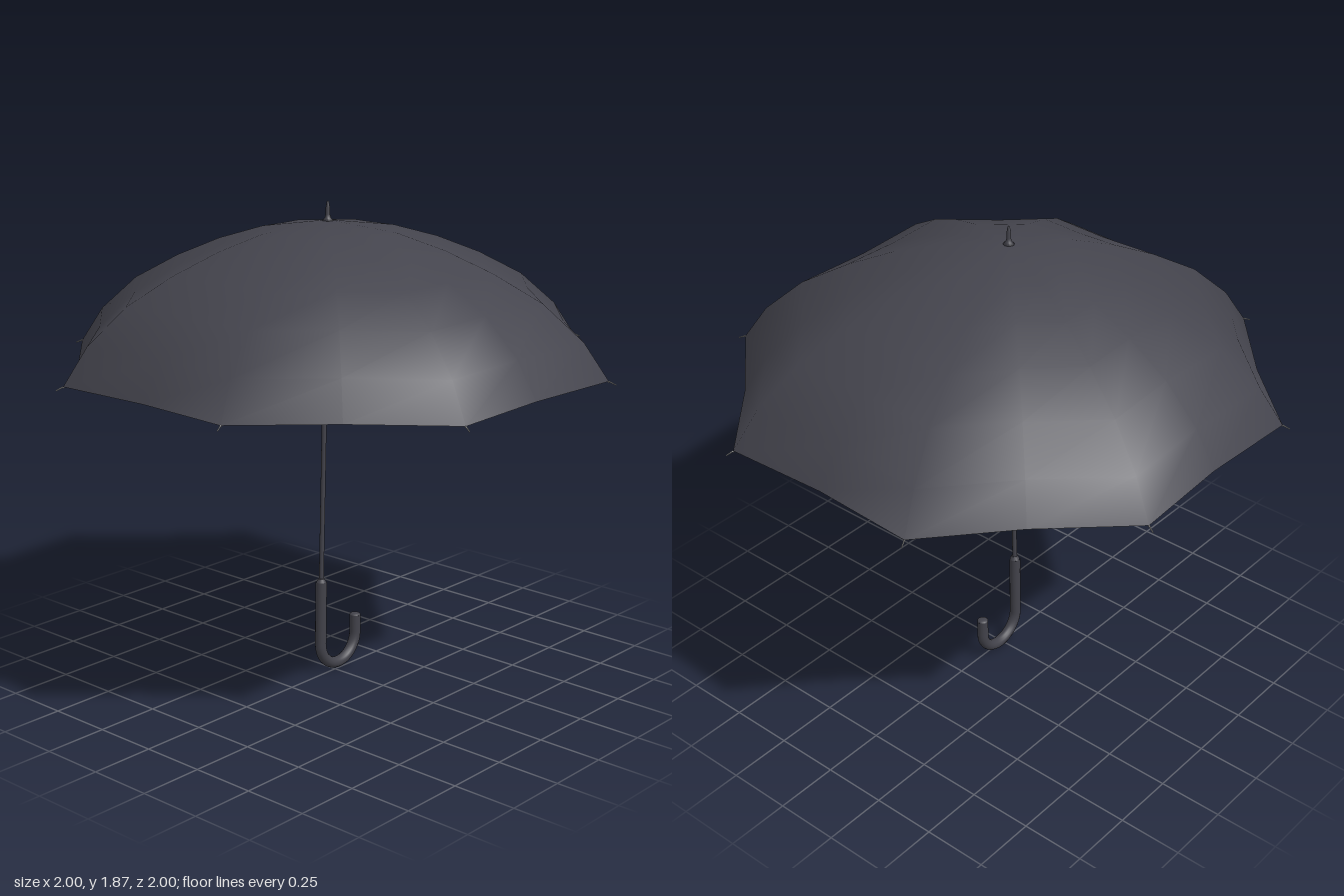
import * as THREE from 'three';

const V = (x, y, z) => new THREE.Vector3(x, y, z);
const APEX = V(0.018, 1.8, 0.06);
const RIM_Y = 1.26;

// Rib ends (x, z), in order of rising angle
const CORNERS = [
  [0.97, 0.44], [0.365, 0.97], [-0.43, 0.97], [-0.975, 0.412],
  [-0.975, -0.395], [-0.41, -0.98], [0.41, -0.98], [0.97, -0.395],
];

// Canopy profile from apex to rim: [fraction of the span, height]
const PROFILE = [
  [0, 1.8], [0.25, 1.762], [0.42, 1.706], [0.59, 1.63], [0.765, 1.53], [0.91, 1.397], [1, RIM_Y],
];

// Point above a rim position, at one step of the profile
function canopyPoint([x, z], [t, y]) {
  return V(APEX.x + (x - APEX.x) * t, y, APEX.z + (z - APEX.z) * t);
}

function canopyGeometry() {
  // Rim alternates rib ends and slightly pulled-in panel centres
  const rim = CORNERS.flatMap((c, i) => {
    const n = CORNERS[(i + 1) % CORNERS.length];
    return [c, [(c[0] + n[0]) * 0.49, (c[1] + n[1]) * 0.49]];
  });
  const n = rim.length;
  const points = [APEX];
  const index = [];
  for (let i = 1; i < PROFILE.length; i++) {
    for (let j = 0; j < n; j++) {
      points.push(canopyPoint(rim[j], PROFILE[i]));
      const k = (j + 1) % n;
      const c = 1 + (i - 1) * n;
      if (i === 1) index.push(0, c + k, c + j);
      else index.push(c - n + j, c - n + k, c + k, c - n + j, c + k, c + j);
    }
  }
  const geo = new THREE.BufferGeometry().setFromPoints(points);
  geo.setIndex(index);
  geo.computeVertexNormals();
  return geo;
}

// Straight round bar between two points
function bar(a, b, rA, rB, sides, material, name) {
  const d = b.clone().sub(a);
  const mesh = new THREE.Mesh(new THREE.CylinderGeometry(rB, rA, d.length(), sides), material);
  mesh.position.copy(a).add(b).multiplyScalar(0.5);
  mesh.quaternion.setFromUnitVectors(V(0, 1, 0), d.normalize());
  mesh.name = name;
  return mesh;
}

export function createModel() {
  const fabric = new THREE.MeshStandardMaterial({ color: 0x44444d, side: THREE.DoubleSide });
  fabric.name = 'dark fabric';
  const dark = new THREE.MeshStandardMaterial({ color: 0x42424a });
  dark.name = 'dark shaft';
  const metal = new THREE.MeshStandardMaterial({ color: 0xa8a8a8 });
  metal.name = 'grey metal';

  const model = new THREE.Group();
  model.name = 'umbrella';
  const add = (geo, material, name, parent = model) => {
    const mesh = new THREE.Mesh(geo, material);
    mesh.name = name;
    parent.add(mesh);
    return mesh;
  };

  add(canopyGeometry(), fabric, 'canopy');

  // Ribs under the canopy, each with a tip past the rim
  const ribs = new THREE.Group();
  ribs.name = 'ribs';
  model.add(ribs);
  for (const corner of CORNERS) {
    const path = new THREE.CurvePath();
    const pts = PROFILE.map((p) => canopyPoint(corner, p).add(V(0, -0.005, 0)));
    for (let i = 1; i < pts.length; i++) path.add(new THREE.LineCurve3(pts[i - 1], pts[i]));
    add(new THREE.TubeGeometry(path, 36, 0.0025, 5), metal, 'rib', ribs);
    const end = V(corner[0], RIM_Y, corner[1]);
    const tip = V(corner[0] * 1.026, RIM_Y - 0.012, corner[1] * 1.026);
    ribs.add(bar(end, tip, 0.003, 0.002, 6, metal, 'ribTip'));
  }

  // Slightly leaning shaft
  const grip = V(-0.006, 0.38, 0.074);
  model.add(bar(grip, APEX, 0.0095, 0.0095, 12, dark, 'shaft'));
  model.add(bar(V(-0.0055, 0.385, 0.074), V(-0.005, 0.4, 0.074), 0.02, 0.012, 16, dark, 'collar'));

  // Finial on top, flared at its base
  const profile = [[0, -0.008], [0.024, -0.006], [0.012, 0.006], [0.008, 0.02], [0.008, 0.045], [0.004, 0.066], [0, 0.07]];
  const finial = add(
    new THREE.LatheGeometry(profile.map(([r, y]) => new THREE.Vector2(r, y)), 14), dark, 'finial');
  finial.position.copy(APEX);

  // Hooked handle: straight grip, half circle, short upright end
  const radius = 0.022, bend = 0.102, cz = -0.028, cy = 0.126;
  const hook = new THREE.CurvePath();
  const arc = [];
  for (let i = 0; i <= 16; i++) {
    const a = (i / 16) * Math.PI;
    arc.push(V(-0.01, cy - Math.sin(a) * bend, cz + Math.cos(a) * bend));
  }
  const end = V(-0.01, 0.193, cz - bend);
  hook.add(new THREE.LineCurve3(V(-0.006, 0.387, 0.074), arc[0]));
  hook.add(new THREE.CatmullRomCurve3(arc));
  hook.add(new THREE.LineCurve3(arc[16], end));
  add(new THREE.TubeGeometry(hook, 60, radius, 14), dark, 'handle');
  const cap = add(new THREE.SphereGeometry(radius, 14, 6, 0, Math.PI * 2, 0, Math.PI / 2), dark, 'handleEnd');
  cap.position.copy(end);
  cap.scale.y = 0.4;
  return model;
}
